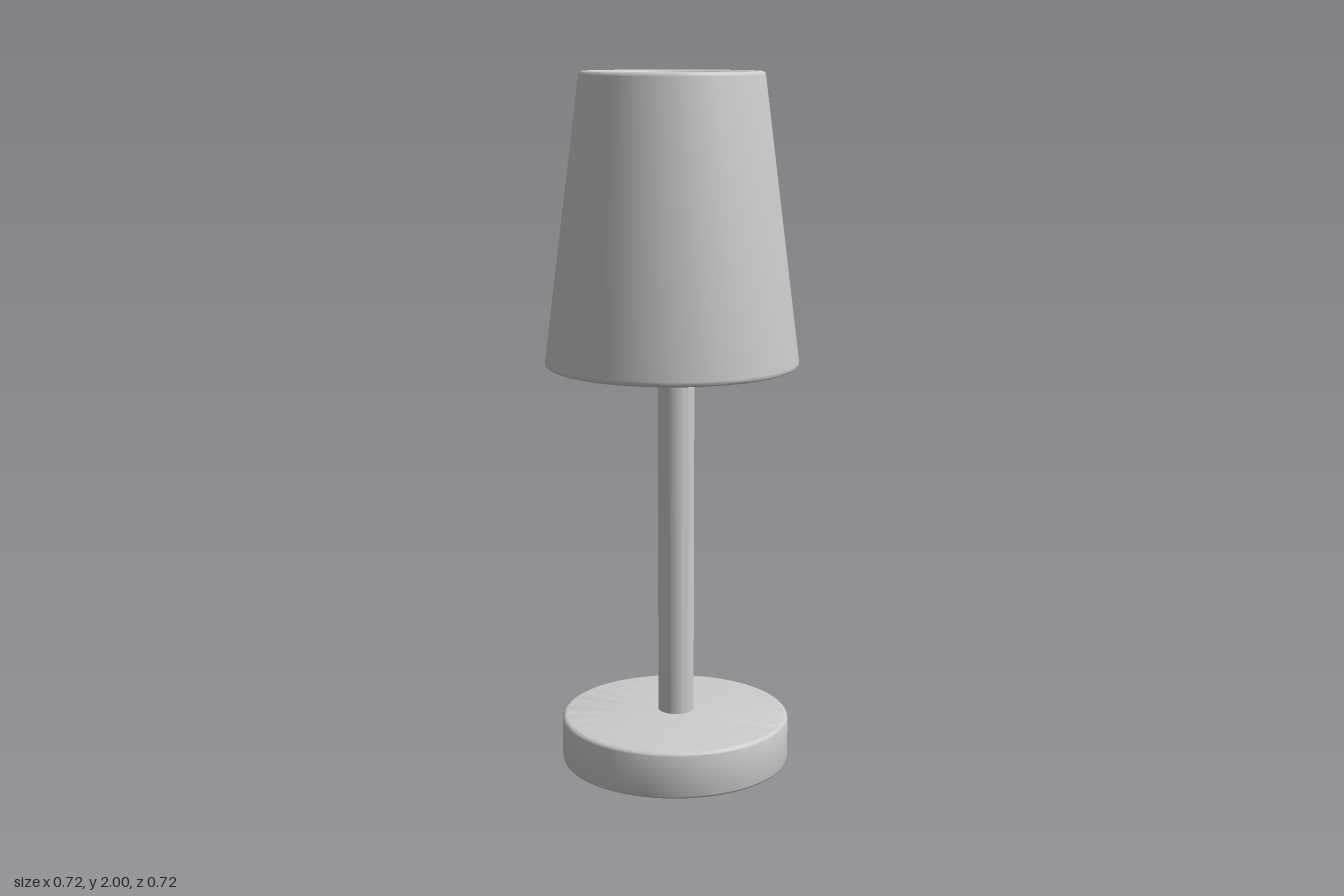
import * as THREE from 'three';
import { toCreasedNormals } from 'three/addons/utils/BufferGeometryUtils.js';

const material = new THREE.MeshStandardMaterial({ color: 0xcccccc });

// Turned solid from [radius, y, rounding] corners, listed bottom to top.
function turned(name, corners, segments, x = 0, z = 0) {
  const pts = corners.map(([r, y]) => new THREE.Vector2(r, y));
  const profile = [];
  corners.forEach(([, , round], i) => {
    const p = pts[i];
    if (!round) {
      profile.push(p);
      return;
    }
    const toward = (q) => p.clone().add(q.clone().sub(p).setLength(round));
    const curve = new THREE.QuadraticBezierCurve(toward(pts[i - 1]), p, toward(pts[i + 1]));
    profile.push(...curve.getPoints(5));
  });
  const geometry = toCreasedNormals(new THREE.LatheGeometry(profile, segments), 0.6);
  const mesh = new THREE.Mesh(geometry, material);
  mesh.name = name;
  mesh.position.set(x, 0, z);
  return mesh;
}

export function createModel() {
  const lamp = new THREE.Group();
  lamp.name = 'tableLamp';

  // Heavy disc foot with softened edges
  lamp.add(turned('base', [
    [0, 0], [0.332, 0, 0.016], [0.332, 0.138, 0.016], [0, 0.138],
  ], 96, 0.003, 0.013));

  // Slim pole, floating just above the foot and ending in the shade
  lamp.add(turned('pole', [
    [0, 0.151], [0.052, 0.151], [0.052, 1.25], [0, 1.25],
  ], 48, 0.003, 0.018));

  // Tapered shade with rounded rims and a recessed panel at each end
  lamp.add(turned('shade', [
    [0, 1.203], [0.325, 1.203], [0.327, 1.176, 0.012],
    [0.363, 1.176, 0.016], [0.258, 2, 0.012],
    [0.226, 2, 0.012], [0.22, 1.96], [0, 1.96],
  ], 96));

  return lamp;
}
